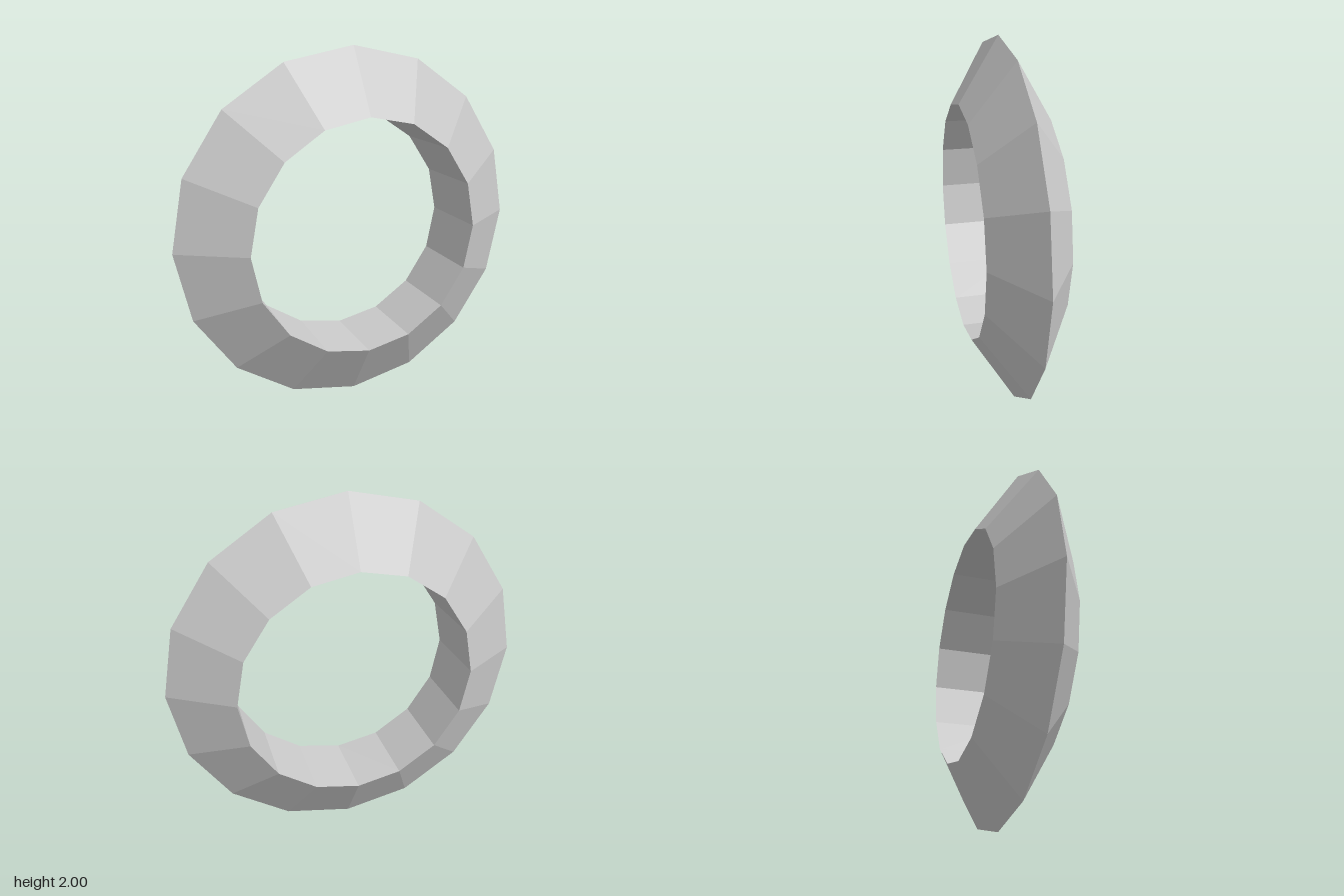
import * as THREE from 'three';

export function createModel() {
  const group = new THREE.Group();
  const material = new THREE.MeshStandardMaterial({ color: 0xcccccc, flatShading: true });

  // Triangular section: sharp outer rim, flat inner band
  const outer = 1, inner = 0.655, halfDepth = 0.212;
  const section = [
    new THREE.Vector2(inner, -halfDepth),
    new THREE.Vector2(outer, 0),
    new THREE.Vector2(inner, halfDepth),
    new THREE.Vector2(inner, -halfDepth),
  ];

  // Sixteen-sided ring, turned to stand upright facing +z
  const geometry = new THREE.LatheGeometry(section, 16);
  geometry.rotateX(Math.PI / 2);
  const ring = new THREE.Mesh(geometry, material);
  ring.name = 'ring';
  ring.position.y = outer;
  group.add(ring);
  return group;
}
